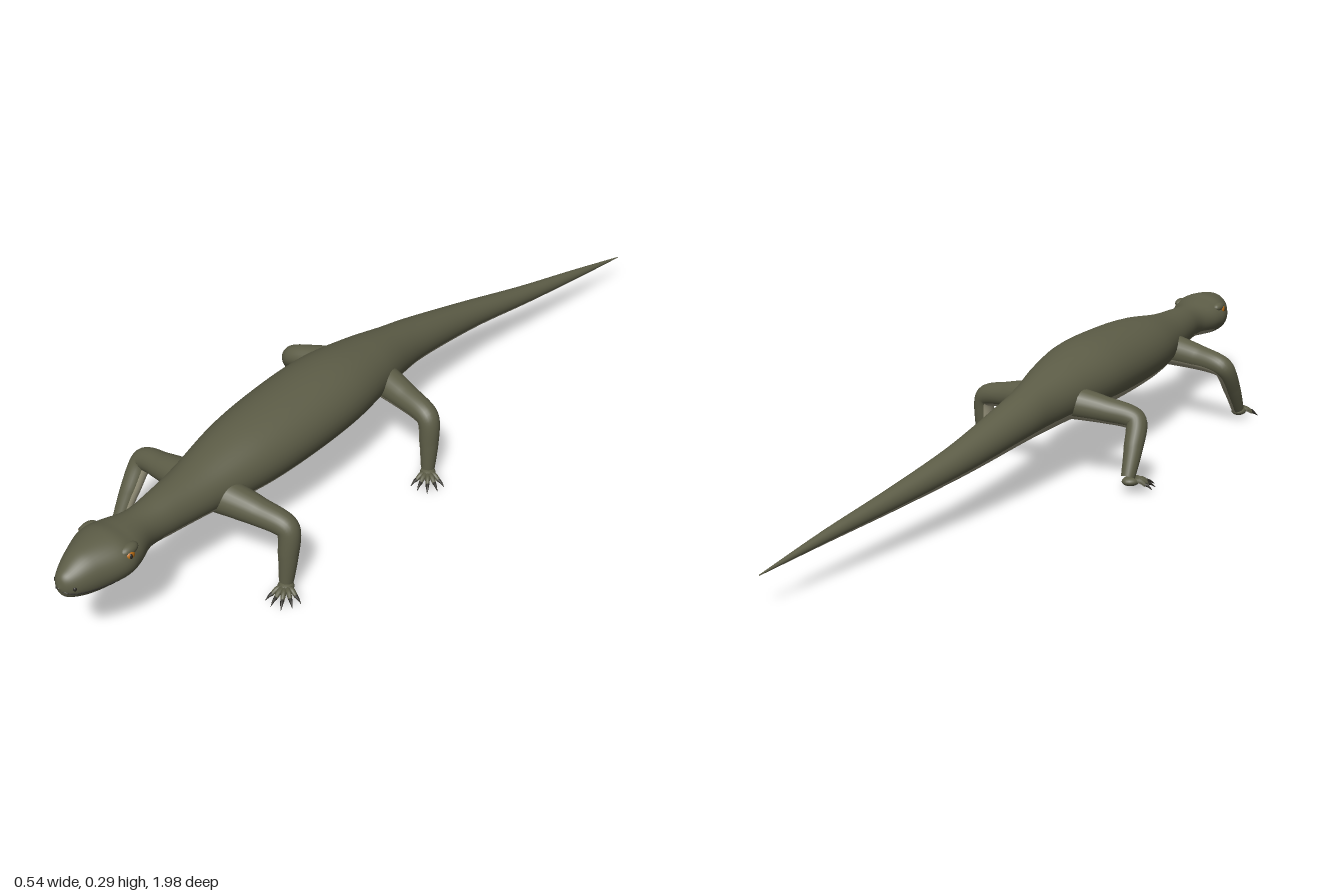
import * as THREE from 'three';

const mat = (name, color) => Object.assign(new THREE.MeshStandardMaterial({ color }), { name });
const V = (x, y, z) => new THREE.Vector3(x, y, z);

// Smooth skin over rings; a = 0 points along each ring's underside axis.
// isUnder(t, a) picks the second material for a face.
function skin(name, ringAt, steps, segs, materials, isUnder) {
  const pos = [], faces = [[], []];
  for (let i = 0; i <= steps; i++)
    for (let j = 0; j < segs; j++) {
      const p = ringAt(i / steps, (j / segs) * Math.PI * 2);
      pos.push(p.x, p.y, p.z);
    }
  for (let i = 0; i < steps; i++)
    for (let j = 0; j < segs; j++) {
      const k = (j + 1) % segs;
      const a = i * segs + j, b = i * segs + k, c = b + segs, d = a + segs;
      const angle = ((j + 0.5) / segs) * Math.PI * 2;
      const under = isUnder((i + 0.5) / steps, Math.min(angle, Math.PI * 2 - angle));
      faces[under ? 1 : 0].push(a, b, c, a, c, d);
    }
  const g = new THREE.BufferGeometry();
  g.setAttribute('position', new THREE.Float32BufferAttribute(pos, 3));
  g.setIndex([...faces[0], ...faces[1]]);
  g.addGroup(0, faces[0].length, 0);
  g.addGroup(faces[0].length, faces[1].length, 1);
  g.computeVertexNormals();
  const mesh = new THREE.Mesh(g, materials);
  mesh.name = name;
  return mesh;
}

// Body from snout to tail tip: z, x, y, half width, half height
const BODY = [
  [0.995, 0, 0.205, 0.001, 0.001], [0.988, 0, 0.205, 0.017, 0.022],
  [0.97, 0, 0.205, 0.032, 0.035], [0.93, 0, 0.208, 0.051, 0.05],
  [0.87, 0, 0.212, 0.073, 0.054], [0.83, 0, 0.211, 0.068, 0.05],
  [0.77, 0, 0.21, 0.045, 0.045], [0.7, 0, 0.208, 0.05, 0.05],
  [0.6, 0, 0.207, 0.066, 0.058], [0.45, 0, 0.21, 0.095, 0.077],
  [0.3, 0, 0.212, 0.106, 0.084], [0.15, 0, 0.212, 0.104, 0.084],
  [0.02, 0, 0.206, 0.084, 0.073], [-0.1, 0, 0.193, 0.06, 0.061],
  [-0.2, 0.003, 0.181, 0.051, 0.051], [-0.4, 0.021, 0.151, 0.036, 0.036],
  [-0.6, 0.053, 0.123, 0.024, 0.024], [-0.8, 0.085, 0.1, 0.013, 0.013],
  [-0.985, 0.112, 0.077, 0.001, 0.001],
];
const spine = new THREE.CatmullRomCurve3(BODY.map(([z, x, y]) => V(x, y, z)), false, 'catmullrom');
const girth = new THREE.CatmullRomCurve3(BODY.map((b) => V(b[3], b[4], 0)), false, 'catmullrom');
function bodyPoint(t, a) {
  const c = spine.getPoint(t), r = girth.getPoint(t);
  return V(c.x - r.x * Math.sin(a), c.y - r.y * Math.cos(a), c.z);
}

// Tapered limb along a curve, with its paler side towards `inner`
function limb(name, points, radii, inner, materials, steps, segs) {
  const path = new THREE.CatmullRomCurve3(points, false, 'catmullrom', 0.4);
  const size = new THREE.CatmullRomCurve3(radii.map((r) => V(r, 0, 0)), false, 'catmullrom');
  const ringAt = (t, a) => {
    const tan = path.getTangent(t), r = size.getPoint(t).x;
    const u = inner.clone().addScaledVector(tan, -inner.dot(tan)).normalize();
    const v = tan.clone().cross(u);
    return path.getPoint(t).addScaledVector(u, r * Math.cos(a)).addScaledVector(v, r * Math.sin(a));
  };
  return skin(name, ringAt, steps, segs, materials, (t, a) => a < 1.05);
}

function ball(name, material, p, sx, sy, sz) {
  const m = new THREE.Mesh(new THREE.SphereGeometry(1, 20, 14), material);
  m.name = name;
  m.position.copy(p);
  m.scale.set(sx, sy, sz);
  return m;
}

export function createModel() {
  const back = mat('oliveBack', 0x5d5d47);
  const belly = mat('paleBelly', 0x9c9880);
  const amber = mat('amberEye', 0xb86c14);
  const dark = mat('darkHorn', 0x2b2923);
  const hide = [back, belly];
  const model = new THREE.Group();
  model.name = 'lizard';

  // Head, trunk and tail in one skin; the belly colour starts at the throat
  model.add(skin('body', bodyPoint, 180, 40, hide, (t, a) => a < (t < 0.27 ? 0 : t < 0.36 ? 0.95 : 1.15)));

  // Mouth line, following the snout
  const lip = [];
  for (let i = -8; i <= 8; i++) {
    const t = 0.03 + Math.abs(i) * 0.021;
    lip.push(bodyPoint(t, Math.sign(i || 1) * 1.12));
  }
  const mouth = new THREE.Mesh(new THREE.TubeGeometry(new THREE.CatmullRomCurve3(lip), 50, 0.0016, 6), dark);
  mouth.name = 'mouthLine';
  model.add(mouth);

  // Eyes with pupils, brows and nostrils
  for (const s of [1, -1]) {
    model.add(ball('brow', back, V(s * 0.055, 0.238, 0.853), 0.014, 0.012, 0.024));
    model.add(ball('eye', amber, V(s * 0.063, 0.231, 0.859), 0.009, 0.011, 0.012));
    model.add(ball('pupil', dark, V(s * 0.0695, 0.232, 0.862), 0.0035, 0.006, 0.004));
    model.add(ball('nostril', dark, V(s * 0.026, 0.204, 0.977), 0.004, 0.005, 0.004));
  }

  // Legs: side, root, knee, ankle, direction of the toes
  const legs = [
    ['frontLeftLeg', 1, V(0.04, 0.188, 0.56), V(0.2, 0.16, 0.538), V(0.205, 0.03, 0.552), 0.5],
    ['frontRightLeg', -1, V(-0.04, 0.188, 0.56), V(-0.2, 0.16, 0.543), V(-0.212, 0.034, 0.622), -0.1],
    ['hindLeftLeg', 1, V(0.03, 0.19, 0.0), V(0.2, 0.16, 0.035), V(0.214, 0.032, 0.048), 0.6],
    ['hindRightLeg', -1, V(-0.03, 0.19, 0.0), V(-0.2, 0.16, 0.022), V(-0.214, 0.042, -0.042), -0.6],
  ];
  for (const [name, s, root, knee, ankle, heading] of legs) {
    const leg = new THREE.Group();
    leg.name = name;
    const inner = V(-s * 0.7, -0.7, 0);
    const upper = root.clone().lerp(knee, 0.55).add(V(0, 0.004, 0));
    const shin = knee.clone().lerp(ankle, 0.5).add(V(s * 0.004, 0, 0));
    leg.add(limb('limb', [root, upper, knee, shin, ankle],
      [0.042, 0.032, 0.026, 0.022, 0.016], inner, hide, 48, 24));

    // Foot with five fanned toes and hooked claws
    const dir = (a) => V(Math.sin(a), 0, Math.cos(a));
    const palm = ankle.clone().addScaledVector(dir(heading), 0.008).add(V(0, -0.009, 0));
    const foot = ball('foot', back, palm, 0.018, 0.011, 0.022);
    foot.rotation.y = heading;
    leg.add(foot);
    for (let k = -2; k <= 2; k++) {
      const d = dir(heading + k * 0.42);
      const len = 0.044 - 0.004 * Math.abs(k);
      const at = (f, y) => palm.clone().addScaledVector(d, len * f).add(V(0, y, 0));
      leg.add(limb('toe', [at(0.1, 0), at(0.6, 0.002), at(1, -0.007)],
        [0.007, 0.006, 0.004], V(0, -1, 0), hide, 10, 10));
      leg.add(limb('claw', [at(0.93, -0.005), at(1.15, -0.008), at(1.42, -0.016)],
        [0.0045, 0.003, 0.0003], V(0, -1, 0), [dark, dark], 8, 8));
    }
    model.add(leg);
  }
  return model;
}
